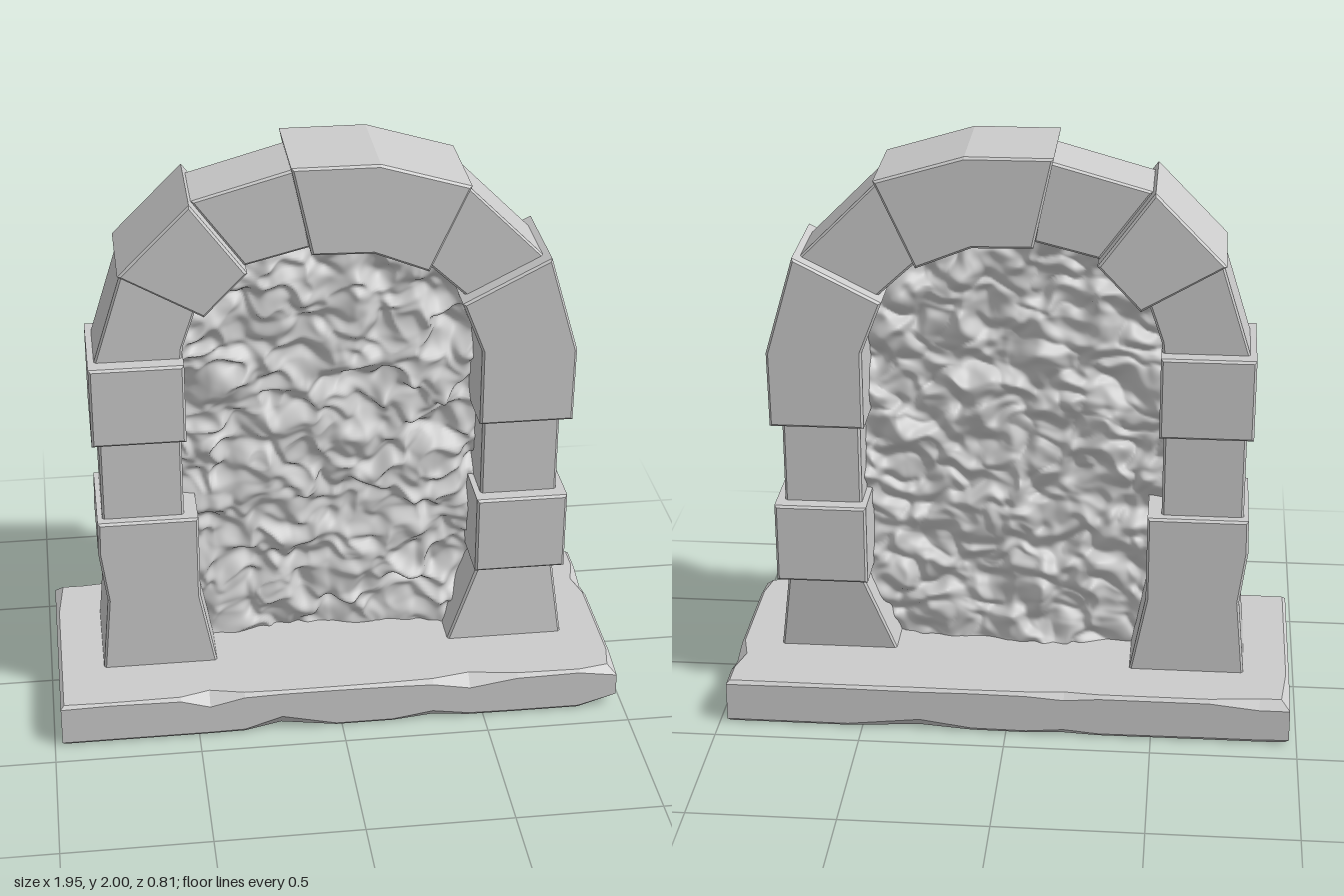
import * as THREE from 'three';

const mat = new THREE.MeshStandardMaterial({ color: 0xcccccc, flatShading: true });
const roughMat = new THREE.MeshStandardMaterial({ color: 0xcccccc, side: THREE.DoubleSide });

// Seeded value noise in the plane
function hash(i, j, seed) {
  const s = Math.sin(i * 127.1 + j * 311.7 + seed * 74.7) * 43758.5453;
  return s - Math.floor(s);
}
function noise(x, y, seed) {
  const i = Math.floor(x), j = Math.floor(y);
  const u = x - i, v = y - j;
  const a = u * u * (3 - 2 * u), b = v * v * (3 - 2 * v);
  const lo = hash(i, j, seed) * (1 - a) + hash(i + 1, j, seed) * a;
  const hi = hash(i, j + 1, seed) * (1 - a) + hash(i + 1, j + 1, seed) * a;
  return (lo * (1 - b) + hi * b) * 2 - 1;
}

// Stone block: outline in x/y, extruded from z0 to z1 with a small chamfer
function stone(name, points, z0, z1, lean = 0) {
  const bevel = 0.008;
  const shape = new THREE.Shape(points.map(([x, y]) => new THREE.Vector2(x, y)));
  const geo = new THREE.ExtrudeGeometry(shape, {
    depth: z1 - z0 - 2 * bevel, bevelEnabled: true, bevelThickness: bevel,
    bevelSize: bevel, bevelOffset: -bevel, bevelSegments: 1,
  });
  geo.translate(0, 0, z0 + bevel);
  const p = geo.attributes.position;
  const yMin = Math.min(...points.map((q) => q[1]));
  for (let i = 0; i < p.count; i++) p.setZ(i, p.getZ(i) - lean * (p.getY(i) - yMin));
  geo.computeVertexNormals();
  const mesh = new THREE.Mesh(geo, mat);
  mesh.name = name;
  return mesh;
}

const rect = (x0, x1, y0, y1) => [[x0, y0], [x1, y0], [x1, y1], [x0, y1]];

// Base slab: rings around a perimeter whose edges are chipped by different amounts
function baseSlab() {
  const W = 0.974, D = 0.406, H = 0.158;
  // x, z, chip at the top edge, chip at the bottom edge
  const rim = [
    [-W, D, 0.012, 0.01], [-0.8, D, 0.008, 0.01], [-0.56, D, 0.012, 0.01], [-0.46, D, 0.042, 0.01],
    [-0.34, D, 0.014, 0.012], [-0.21, D, 0.01, 0.05], [-0.02, D, 0.01, 0.01], [0.18, D, 0.012, 0.01],
    [0.32, D, 0.016, 0.03], [0.45, D, 0.04, 0.012], [0.62, D, 0.014, 0.01], [0.84, D, 0.01, 0.01],
    [W, D, 0.03, 0.045], [W, 0.28, 0.012, 0.02], [W, 0.06, 0.012, 0.01], [W, -0.1, 0.012, 0.012],
    [W, -0.2, 0.036, 0.02], [W, -0.3, 0.012, 0.01], [W, -D, 0.012, 0.01], [0.55, -D, 0.01, 0.01],
    [0.3, -D, 0.012, 0.035], [0.12, -D, 0.01, 0.012], [-0.07, -D, 0.012, 0.01], [-0.2, -D, 0.022, 0.02],
    [-0.32, -D, 0.012, 0.01], [-0.7, -D, 0.012, 0.012], [-0.87, -D, 0.03, 0.012], [-W, -D, 0.03, 0.015],
    [-W, -0.2, 0.012, 0.01], [-W, 0.2, 0.012, 0.01],
  ];
  const inset = (x, y, z, d) => [
    THREE.MathUtils.clamp(x, d - W, W - d), y, THREE.MathUtils.clamp(z, d - D, D - d)];
  const rings = [
    rim.map(([x, z, , b]) => inset(x, 0, z, b)),
    rim.map(([x, z, , b]) => inset(x, b * 1.1, z, 0)),
    rim.map(([x, z, t]) => inset(x, H - t, z, 0)),
    rim.map(([x, z, t]) => inset(x, H, z, t)),
  ];
  const v = [];
  const n = rim.length;
  for (let i = 0; i < n; i++) {
    const j = (i + 1) % n;
    for (let r = 0; r < 3; r++) {
      const a = rings[r][i], b = rings[r][j], c = rings[r + 1][j], d = rings[r + 1][i];
      v.push(...a, ...b, ...c, ...a, ...c, ...d);
    }
    v.push(0, H, 0, ...rings[3][i], ...rings[3][j]);
    v.push(0, 0, 0, ...rings[0][j], ...rings[0][i]);
  }
  const geo = new THREE.BufferGeometry();
  geo.setAttribute('position', new THREE.Float32BufferAttribute(v, 3));
  geo.computeVertexNormals();
  const mesh = new THREE.Mesh(geo, mat);
  mesh.name = 'baseSlab';
  return mesh;
}

// Rippled sheet filling the arch opening, seen from both sides
function roughInfill() {
  const geo = new THREE.PlaneGeometry(2, 1, 150, 230);
  const p = geo.attributes.position;
  const spring = 1.33, top = 1.74, half = 0.525, seed = 3;
  for (let i = 0; i < p.count; i++) {
    const y = 0.14 + (p.getY(i) + 0.5) * (top - 0.14);
    const k = Math.max(0, (y - spring) / (top - spring));
    const x = p.getX(i) * half * Math.sqrt(Math.max(0, 1 - k * k));
    // lightly warped lumps with finer folds on top
    const wx = x * 10 + 0.35 * noise(x * 13, y * 13, seed + 1);
    const wy = y * 13 + 0.35 * noise(x * 13, y * 13, seed + 2);
    const ridge = 1 - 2 * Math.abs(noise(wx * 1.1 + wy * 0.5, wy - wx * 0.4, seed + 3));
    const h = 0.042 * noise(wx, wy, seed) + 0.014 * ridge
      + 0.014 * noise(wx * 2.1, wy * 2.1, seed + 4);
    p.setXYZ(i, x, y - 0.25 * h * (1 - k), h - 0.015);
  }
  geo.computeVertexNormals();
  const mesh = new THREE.Mesh(geo, roughMat);
  mesh.name = 'roughInfill';
  return mesh;
}

export function createModel() {
  const group = new THREE.Group();
  group.name = 'stoneArch';
  group.add(baseSlab());

  const wide = [-0.199, 0.179], thin = [-0.142, 0.12];
  const stones = [
    // right-hand column (-x)
    ['rightFootStone', [[-0.815, 0.15], [-0.415, 0.15], [-0.468, 0.43], [-0.468, 0.738], [-0.812, 0.738],
      [-0.815, 0.62], [-0.79, 0.43]], wide],
    ['rightColumnStone', rect(-0.795, -0.515, 0.73, 1.04), [-0.162, 0.142]],
    ['rightCapStone', rect(-0.818, -0.5, 1.035, 1.322), wide],
    // arch, from -x over the top to +x
    ['archStone1', [[-0.8, 1.31], [-0.505, 1.31], [-0.5, 1.36], [-0.445, 1.52], [-0.69, 1.66]], thin],
    ['archStone2', [[-0.708, 1.65], [-0.43, 1.488], [-0.285, 1.64], [-0.47, 1.892]], [-0.208, 0.168], -0.03],
    ['archStone3', [[-0.46, 1.88], [-0.29, 1.645], [-0.07, 1.7], [-0.12, 1.975]], thin],
    ['keystone', [[-0.14, 2], [-0.075, 1.695], [0.13, 1.69], [0.315, 1.615], [0.45, 1.91], [0.15, 2]], wide],
    ['archStone4', [[0.435, 1.9], [0.31, 1.625], [0.455, 1.49], [0.715, 1.62]], thin],
    ['archStone5', [[0.725, 1.64], [0.43, 1.49], [0.5, 1.31], [0.5, 1.035], [0.822, 1.035], [0.825, 1.3]], wide],
    // left-hand column (+x)
    ['leftColumnStone', rect(0.52, 0.788, 0.73, 1.04), [-0.145, 0.125]],
    ['leftMiddleStone', rect(0.5, 0.818, 0.452, 0.738), wide],
    ['leftFootStone', [[0.41, 0.15], [0.825, 0.15], [0.785, 0.46], [0.528, 0.46]], [-0.115, 0.148], 0.1],
  ];
  for (const [name, points, [z0, z1], lean] of stones) group.add(stone(name, points, z0, z1, lean));

  group.add(roughInfill());
  return group;
}
